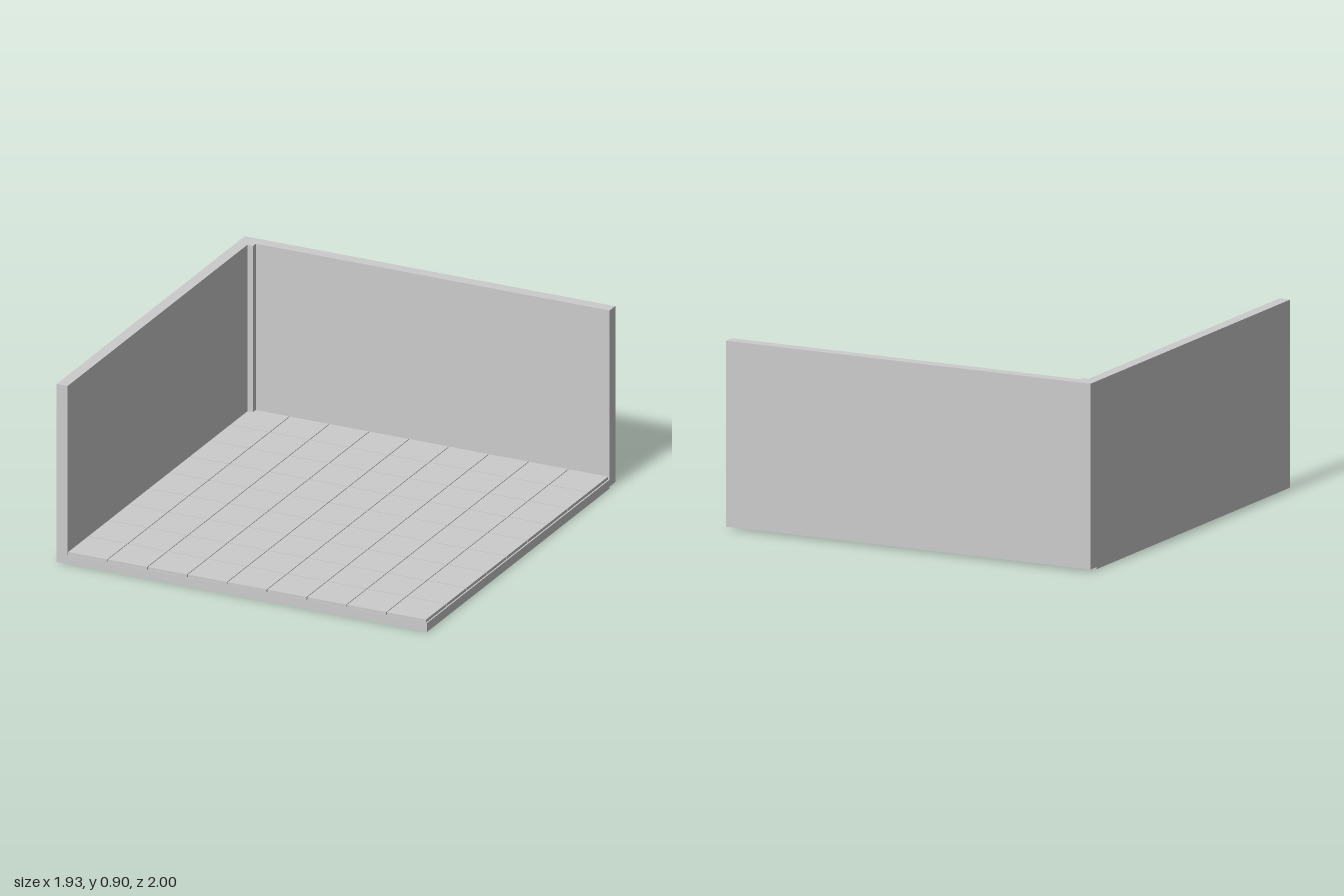
import * as THREE from 'three';

const material = new THREE.MeshStandardMaterial({ color: 0xcccccc, flatShading: true });

// Box given by its limits on each axis
function box(name, [x0, x1], [y0, y1], [z0, z1]) {
  const mesh = new THREE.Mesh(new THREE.BoxGeometry(x1 - x0, y1 - y0, z1 - z0), material);
  mesh.position.set((x0 + x1) / 2, (y0 + y1) / 2, (z0 + z1) / 2);
  mesh.name = name;
  return mesh;
}

export function createModel() {
  const room = new THREE.Group();
  room.name = 'cutawayRoom';

  const left = -0.967, right = 0.965, back = -1, front = 1;
  const innerX = -0.91, innerZ = -0.94, post = 0.03;
  const baseTop = 0.01, slabTop = 0.045, tileTop = 0.06, wallTop = 0.903;

  // Floor: thin base running under the side wall, then the slab between the walls
  room.add(box('floorBase', [left, right], [0, baseTop], [innerZ, front]));
  room.add(box('floorSlab', [innerX, right], [baseTop, slabTop], [innerZ, front]));

  // L-shaped walls with a small square post in the inner corner (plan drawn as x, -z)
  const plan = new THREE.Shape([
    [left, front], [innerX, front], [innerX, innerZ + post], [innerX + post, innerZ + post],
    [innerX + post, innerZ], [right, innerZ], [right, back], [left, back],
  ].map(([x, z]) => new THREE.Vector2(x, -z)));
  const wallGeometry = new THREE.ExtrudeGeometry(plan, { depth: wallTop - baseTop, bevelEnabled: false });
  wallGeometry.rotateX(-Math.PI / 2);
  const walls = new THREE.Mesh(wallGeometry, material);
  walls.position.y = baseTop;
  walls.name = 'wallsWithCornerPost';
  room.add(walls);

  // Nine by nine floor tiles with narrow joints
  const tiles = new THREE.Group();
  tiles.name = 'floorTiles';
  const count = 9, gap = 0.004, tileRight = 0.96;
  const stepX = (tileRight - innerX) / count, stepZ = (front - innerZ) / count;
  for (let i = 0; i < count; i++) {
    for (let j = 0; j < count; j++) {
      const x = innerX + i * stepX, z = innerZ + j * stepZ;
      tiles.add(box('floorTile',
        [x + gap / 2, x + stepX - gap / 2], [slabTop, tileTop], [z + gap / 2, z + stepZ - gap / 2]));
    }
  }
  room.add(tiles);

  return room;
}
